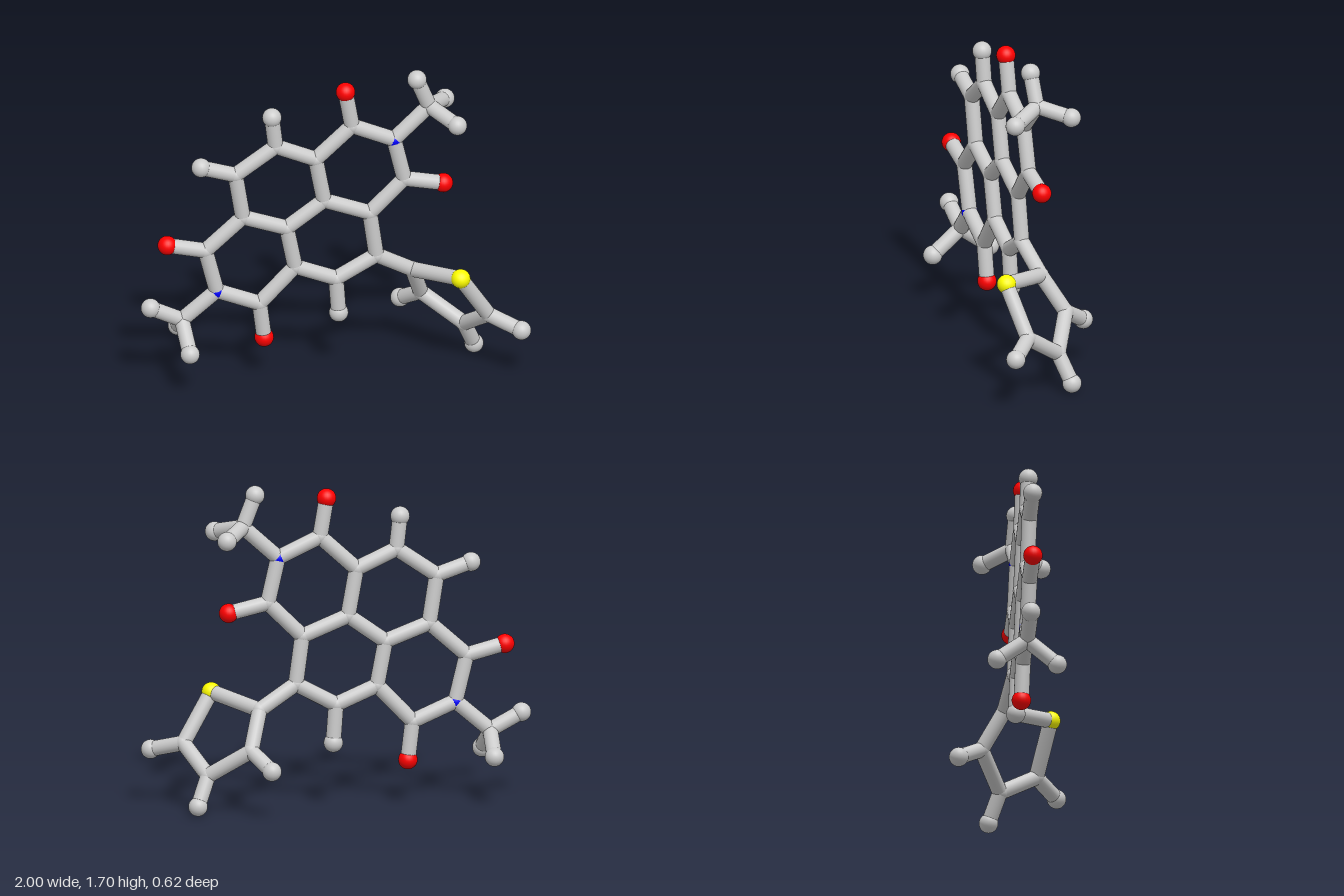
import * as THREE from 'three';

const BOND_R = 0.04, JOINT_R = 0.042, BALL_R = 0.05;

const material = (color) => new THREE.MeshStandardMaterial({ color });
const MATS = {
  carbon: material(0xcccccc), hydrogen: material(0xcccccc),
  oxygen: material(0xff0000), nitrogen: material(0x0000ff), sulfur: material(0xffff00),
};

// The fused rings lie on one slightly tilted plane
const planeZ = (x, y) => 0.015 - 0.055 * x + 0.03 * y;

// Flat core: two inner rings and two nitrogen rings, [x, y]
const core = {
  upperCarbonylA: [0.10, 1.42], upperNitrogen: [0.32, 1.32], upperCarbonylB: [0.375, 1.085],
  a1: [-0.09, 1.245], a2: [-0.30, 1.34], a3: [-0.51, 1.195], a4: [-0.47, 0.945],
  mid1: [-0.24, 0.86], mid2: [-0.045, 1.0],
  b1: [0.195, 0.905], b2: [0.23, 0.655], b3: [0.02, 0.54], b4: [-0.195, 0.63],
  lowerCarbonylA: [-0.38, 0.435], lowerNitrogen: [-0.605, 0.53], lowerCarbonylB: [-0.665, 0.77],
};

// Single atoms ending a bond on the core plane: type, parent, [x, y]
const coreEnds = [
  ['oxygen', 'upperCarbonylA', [0.065, 1.62]], ['oxygen', 'upperCarbonylB', [0.58, 1.04]],
  ['oxygen', 'lowerCarbonylA', [-0.355, 0.235]], ['oxygen', 'lowerCarbonylB', [-0.865, 0.82]],
  ['hydrogen', 'a2', [-0.32, 1.51]], ['hydrogen', 'a3', [-0.69, 1.255]],
  ['hydrogen', 'b3', [0.035, 0.34]],
];

// Methyl groups and the twisted five-sided ring, [x, y, z]
const outer = {
  upperMethyl: [0.505, 1.49, 0.02], lowerMethyl: [-0.785, 0.375, 0.06],
  t2: [0.425, 0.535, -0.025], sulfur: [0.64, 0.585, 0.22], t5: [0.795, 0.335, 0.15],
  t4: [0.695, 0.2, -0.04], t3: [0.485, 0.345, -0.14],
};
const outerEnds = [
  ['hydrogen', 'upperMethyl', [0.44, 1.652, 0.035]],
  ['hydrogen', 'upperMethyl', [0.63, 1.44, 0.17]],
  ['hydrogen', 'upperMethyl', [0.61, 1.45, -0.135]],
  ['hydrogen', 'lowerMethyl', [-0.95, 0.46, 0.075]],
  ['hydrogen', 'lowerMethyl', [-0.765, 0.25, 0.215]],
  ['hydrogen', 'lowerMethyl', [-0.785, 0.265, -0.095]],
  ['hydrogen', 't5', [0.95, 0.285, 0.258]],
  ['hydrogen', 't4', [0.755, 0.052, -0.097]],
  ['hydrogen', 't3', [0.395, 0.26, -0.26]],
];

// Chains of bonded atoms
const chains = [
  'a1 upperCarbonylA upperNitrogen upperCarbonylB b1 mid2 a1',
  'a1 a2 a3 a4 mid1 mid2',
  'b1 b2 b3 b4 mid1',
  'b4 lowerCarbonylA lowerNitrogen lowerCarbonylB a4',
  'upperNitrogen upperMethyl', 'lowerNitrogen lowerMethyl',
  'b2 t2 sulfur t5 t4 t3 t2',
];

export function createModel() {
  const group = new THREE.Group();
  const ballGeo = new THREE.SphereGeometry(1, 24, 16);
  const rodGeo = new THREE.CylinderGeometry(BOND_R, BOND_R, 1, 20, 1, true);
  const up = new THREE.Vector3(0, 1, 0);
  const point = ([x, y, z = planeZ(x, y)]) => new THREE.Vector3(x, y, z);

  const addAtom = (type, p, radius) => {
    const ball = new THREE.Mesh(ballGeo, MATS[type]);
    ball.name = `${type}Atom`;
    ball.position.copy(p);
    ball.scale.setScalar(radius);
    group.add(ball);
  };
  const addBond = (p, q) => {
    const dir = q.clone().sub(p);
    const rod = new THREE.Mesh(rodGeo, MATS.carbon);
    rod.name = 'bond';
    rod.position.copy(p).add(q).multiplyScalar(0.5);
    rod.scale.y = dir.length();
    rod.quaternion.setFromUnitVectors(up, dir.normalize());
    group.add(rod);
  };

  // Joint atoms
  const joints = {};
  for (const [name, xyz] of Object.entries({ ...core, ...outer })) {
    joints[name] = point(xyz);
    const type = name === 'sulfur' ? 'sulfur' : name.endsWith('Nitrogen') ? 'nitrogen' : 'carbon';
    addAtom(type, joints[name], type === 'sulfur' ? BALL_R : JOINT_R);
  }

  // Bonds between joints
  for (const chain of chains) {
    const names = chain.split(' ');
    for (let i = 1; i < names.length; i++) addBond(joints[names[i - 1]], joints[names[i]]);
  }

  // End atoms with their bonds
  for (const [type, parent, xyz] of [...coreEnds, ...outerEnds]) {
    const p = point(xyz);
    addAtom(type, p, BALL_R);
    addBond(joints[parent], p);
  }
  return group;
}
